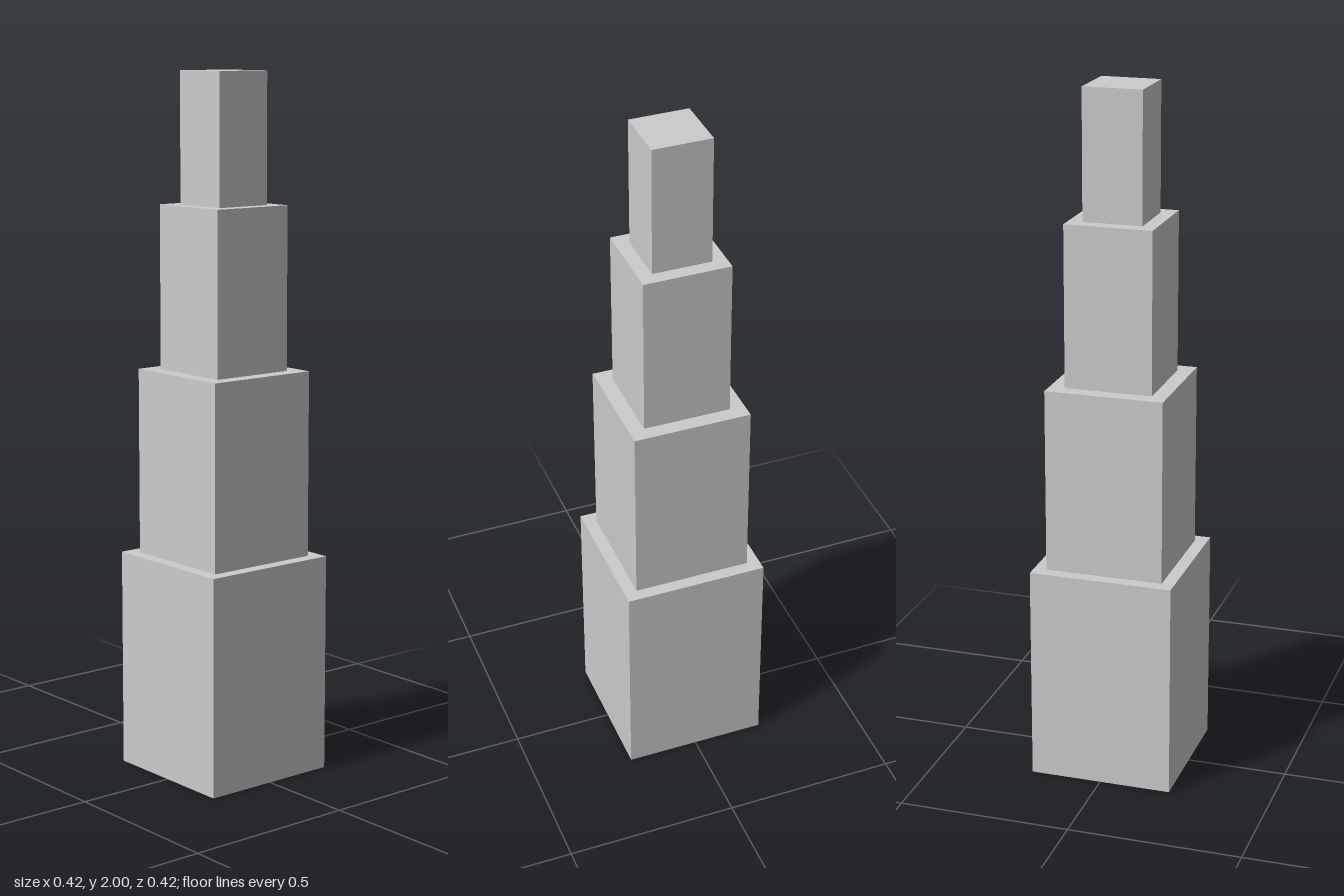
import * as THREE from 'three';

// Square tiers from the ground up: [name, width, bottom y, top y]
const TIERS = [
  ['baseTier', 0.416, 0, 0.63],
  ['lowerTier', 0.342, 0.63, 1.164],
  ['upperTier', 0.253, 1.164, 1.63],
  ['topTier', 0.171, 1.63, 2],
];

export function createModel() {
  const tower = new THREE.Group();
  tower.name = 'steppedTower';
  const material = new THREE.MeshStandardMaterial({ color: 0xcccccc, flatShading: true });

  // Each tier is a plain block resting on the one below
  for (const [name, width, bottom, top] of TIERS) {
    const tier = new THREE.Mesh(new THREE.BoxGeometry(width, top - bottom, width), material);
    tier.name = name;
    tier.position.y = (bottom + top) / 2;
    tower.add(tier);
  }
  return tower;
}
